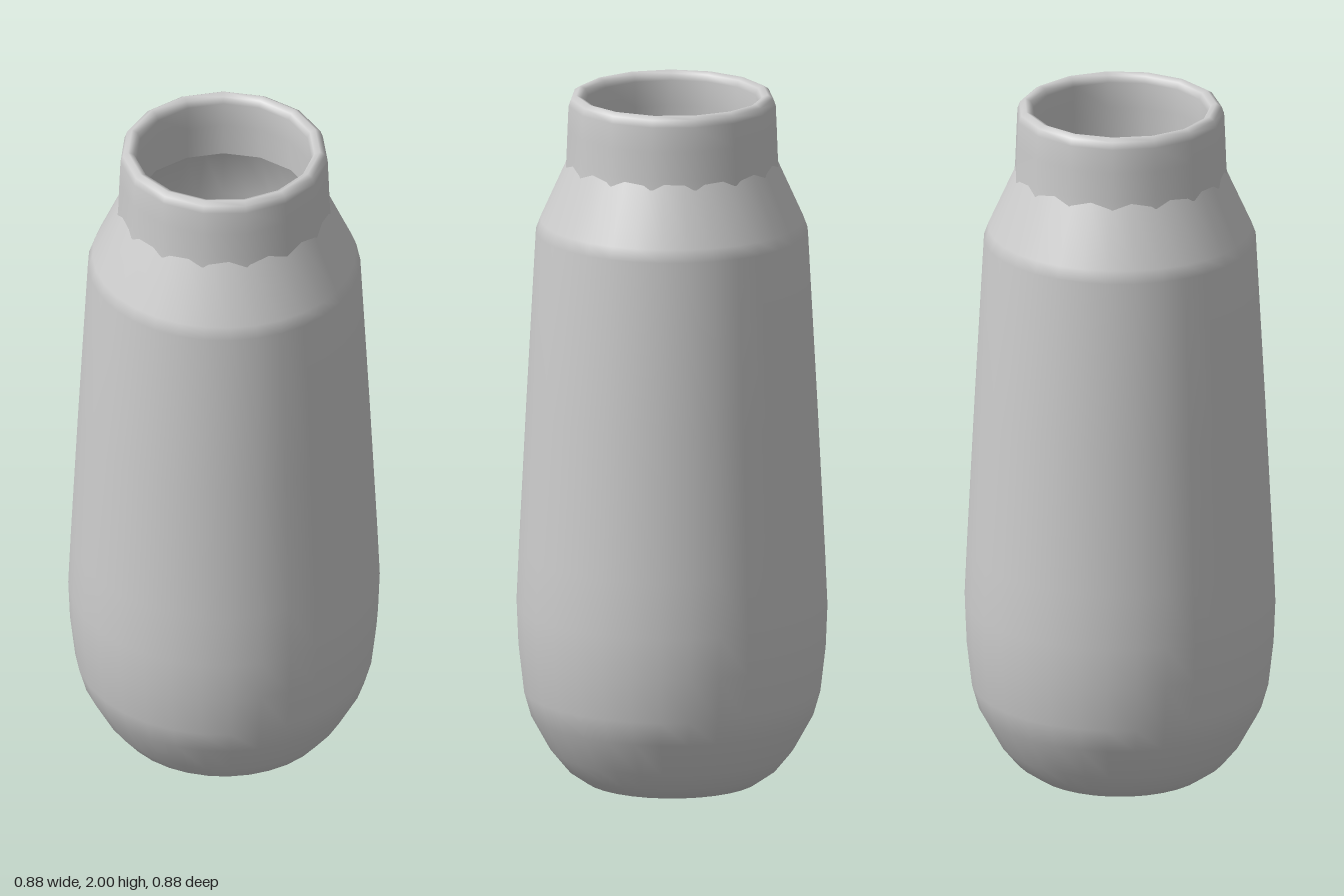
import * as THREE from 'three';

const grey = new THREE.MeshStandardMaterial({ color: 0xcccccc });
grey.name = 'plain grey';

// Revolves a [radius, height] profile around the y axis
function turned(name, profile, sides) {
  const points = profile.map(([r, y]) => new THREE.Vector2(r, y));
  const mesh = new THREE.Mesh(new THREE.LatheGeometry(points, sides), grey);
  mesh.name = name;
  return mesh;
}

export function createModel() {
  const bottle = new THREE.Group();
  bottle.name = 'bottle';

  // Outer wall: rounded foot, full belly, tapering sides and sloped shoulder
  bottle.add(turned('body', [
    [0, 0], [0.2, 0], [0.25, 0.01], [0.3, 0.045], [0.345, 0.1], [0.4, 0.2],
    [0.42, 0.27], [0.435, 0.4], [0.44, 0.52], [0.433, 0.68], [0.412, 1.1],
    [0.385, 1.6], [0.372, 1.635], [0.298, 1.8], [0.28, 1.84],
  ], 32));

  // Coarser neck with a rounded lip turning into the mouth
  bottle.add(turned('neck', [
    [0.302, 1.79], [0.3, 1.82], [0.297, 1.9], [0.294, 1.97], [0.287, 1.99],
    [0.272, 2], [0.256, 1.993], [0.248, 1.975], [0.25, 1.9], [0.255, 1.8],
  ], 15));

  // Inner wall and floor of the cavity
  bottle.add(turned('inside', [
    [0.255, 1.8], [0.345, 1.6], [0.37, 1.1], [0.4, 0.52], [0.38, 0.27],
    [0.27, 0.08], [0.2, 0.05], [0, 0.05],
  ], 30));

  return bottle;
}
